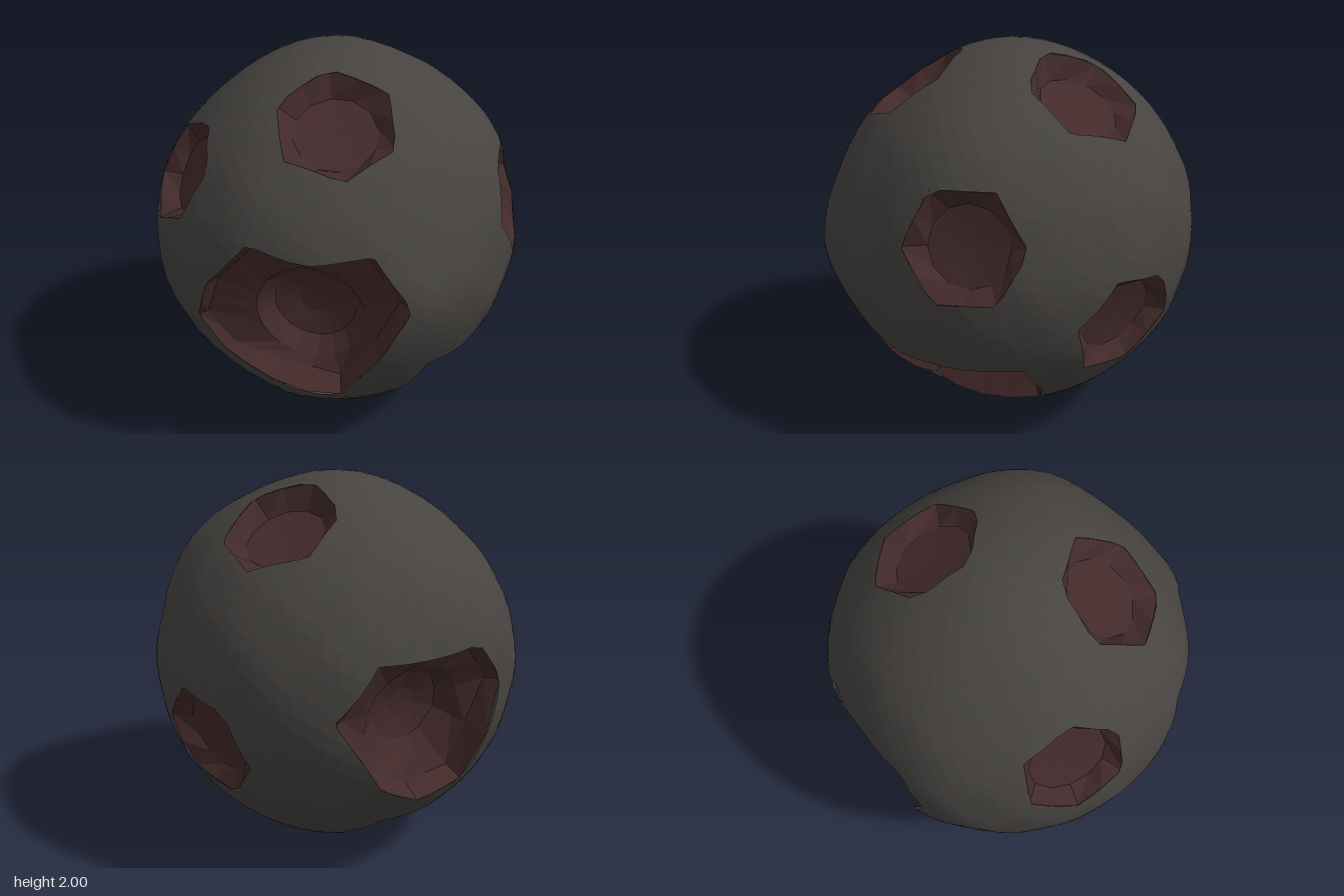
import * as THREE from 'three';

const rock = new THREE.MeshStandardMaterial({ color: 0x464340, flatShading: true, side: THREE.DoubleSide });
const pit = new THREE.MeshStandardMaterial({ color: 0x432a2b, flatShading: true, side: THREE.DoubleSide });
const V = (x, y, z) => new THREE.Vector3(x, y, z);

// Swellings and dents of the rock: direction, height
const bumps = [
  [0.6, 0, 0.8, 0.075], [0.15, -0.5, 0.86, 0.06], [-0.3, 0.05, 0.95, 0.025], [0, 0.34, 0.94, 0.04],
  [0.87, 0.5, 0, 0.025], [0.7, 0.72, 0, 0.025], [0.5, -0.78, 0.3, 0.025], [-0.7, -0.05, 0.7, 0.015],
  [-0.78, 0.25, -0.6, -0.035], [0.75, 0.2, -0.66, -0.015], [-0.65, 0.75, 0, -0.02], [-0.6, -0.2, -0.75, 0.02],
].map(([x, y, z, h]) => [V(x, y, z).normalize(), h]);

// Distance of the rock surface from the centre in a direction
function surfaceRadius(d) {
  let r = 0.958 + 0.042 * Math.pow(Math.abs(d.y), 10) + 0.012 * Math.pow(Math.abs(d.x), 4);
  r += 0.007 * Math.sin(13 * d.x + 2) * Math.sin(12 * d.y + 1) * Math.sin(13 * d.z + 1) * (1 - d.y * d.y);
  for (const [b, h] of bumps) r += h * Math.exp((d.dot(b) - 1) * 18);
  return r;
}

const hexagon = (r, degrees) => Array.from({ length: 6 }, (_, i) => {
  const a = THREE.MathUtils.degToRad(degrees + 60 * i);
  return [r * Math.cos(a), r * Math.sin(a)];
});

// Rings below the rim: [radius, height along the axis, roundness, shift u, shift v]
const dish = [[0.21, 0.845, 1, 0, 0], [0.1, 0.835, 1, 0, 0]];
const bowl = [[0.78, 0.69, 0, 0, 0], [0.5, 0.63, 0, 0, 0], [0.2, 0.61, 0, 0, 0]];

// Each crater: name, centre direction, outline in its tangent plane, rings
const craters = [
  ['upperFrontCrater', [0.15, 0.78, 0.5], hexagon(0.325, 37), dish],
  ['upperBackCrater', [0.16, 0.82, -0.44], hexagon(0.325, 30), dish],
  ['upperRightCrater', [-0.7, 0.45, 0.53], hexagon(0.3, 25), dish],
  ['leftCrater', [0.92, 0.245, -0.1], hexagon(0.325, 4), dish],
  ['lowerBackCrater', [0.47, -0.26, -0.81], hexagon(0.325, -10), dish],
  ['frontCrater', [0.08, -0.12, 0.96],
    [[0.37, 0.4], [0.06, 0.37], [-0.23, 0.42], [-0.47, 0.14], [-0.55, -0.1],
      [-0.41, -0.3], [-0.13, -0.39], [0.2, -0.45], [0.4, -0.17], [0.54, 0.13]],
    [[0.9, 0.79, 0, 0, 0], [0.28, 0.745, 1, 0.03, -0.06], [0.21, 0.65, 1, 0.03, -0.07],
      [0.09, 0.61, 1, 0.03, -0.07]]],
  ['backCrater', [-0.76, -0.16, -0.65],
    [[0.3, 0.42], [-0.33, 0.42], [-0.55, 0.13], [-0.28, -0.28], [-0.03, -0.42], [0.27, -0.38], [0.46, 0.18]],
    [[0.86, 0.76, 0, 0, 0], [0.28, 0.7, 1, 0, 0], [0.2, 0.61, 1, 0.02, 0], [0.08, 0.57, 1, 0.03, 0]]],
  ['lowerLeftCrater', [0.66, -0.7, 0.07],
    [[0.45, 0.27], [0, 0.32], [-0.49, 0.2], [-0.42, -0.04], [-0.31, -0.33], [0, -0.36], [0.33, -0.35], [0.48, -0.02]], bowl],
  ['bottomCrater', [-0.45, -0.86, 0],
    [[0.54, 0.04], [0.25, 0.19], [-0.28, 0.21], [-0.56, 0.05], [-0.5, -0.22], [-0.28, -0.34], [0.25, -0.31], [0.5, -0.24]], bowl],
].map(([name, c, outline, rings]) => {
  const axis = V(...c).normalize();
  const u = V(0, 1, 0).cross(axis).normalize();
  return { name, axis, u, v: axis.clone().cross(u), outline, rings };
});

// Unit direction from tangent-plane coordinates
const toDirection = (k, a, b) => k.axis.clone()
  .multiplyScalar(Math.sqrt(1 - a * a - b * b)).addScaledVector(k.u, a).addScaledVector(k.v, b);

// Distance from crater centre to its outline along (a, b)
function outlineReach(k, a, b) {
  const n = k.outline.length, len = Math.hypot(a, b);
  const x = a / len, y = b / len;
  for (let i = 0; i < n; i++) {
    const [px, py] = k.outline[i], [qx, qy] = k.outline[(i + 1) % n];
    const ex = qx - px, ey = qy - py, den = x * ey - y * ex;
    if (Math.abs(den) < 1e-9) continue;
    const t = (px * ey - py * ex) / den, s = (px * y - py * x) / den;
    if (t > 0 && s >= -1e-6 && s <= 1 + 1e-6) return t;
  }
  return 0;
}

// Rock shell: sphere with openings whose edges are pulled onto the outlines
function makeBody() {
  const src = new THREE.IcosahedronGeometry(1, 13).attributes.position;
  const out = [];
  for (let f = 0; f < src.count; f += 3) {
    const inside = [], pts = [];
    for (let j = 0; j < 3; j++) {
      let d = V().fromBufferAttribute(src, f + j).normalize(), hit = null;
      for (const k of craters) {
        if (d.dot(k.axis) < 0.6) continue;
        let a = d.dot(k.u), b = d.dot(k.v);
        if (Math.hypot(a, b) < 1e-6) a = 1e-4;
        const reach = outlineReach(k, a, b), rho = Math.hypot(a, b);
        if (rho < reach) {
          hit = k;
          d = toDirection(k, a * reach / rho, b * reach / rho);
          break;
        }
      }
      inside.push(hit);
      pts.push(d.clone().multiplyScalar(surfaceRadius(d)));
    }
    if (inside[0] && inside[0] === inside[1] && inside[1] === inside[2]) continue;
    for (const p of pts) out.push(p.x, p.y, p.z);
  }
  return toMesh(out, rock, 'body');
}

// Crater lining: rings lofted from a lip under the rock, over the rim and down to the floor
function makeCrater(k) {
  const rim = [];
  k.outline.forEach(([a, b], i) => {
    const [c, d] = k.outline[(i + 1) % k.outline.length];
    rim.push([a, b], [(a + c) / 2, (b + d) / 2]);
  });
  const loops = [[1.04, -0.015], [1, -0.001]].map(([s, lift]) => rim.map(([a, b]) => {
    const d = toDirection(k, a * s, b * s);
    return d.multiplyScalar(surfaceRadius(d) + lift);
  }));
  const place = (a, b, h) => k.axis.clone().multiplyScalar(h).addScaledVector(k.u, a).addScaledVector(k.v, b);
  for (const [r, h, round, su, sv] of k.rings) {
    loops.push(rim.map(([a, b]) => {
      const s = round ? r / Math.hypot(a, b) : r;
      return place(a * s + su, b * s + sv, h);
    }));
  }
  const last = k.rings[k.rings.length - 1];
  const centre = place(last[3], last[4], last[1] - 0.005);
  const out = [], n = rim.length;
  loops.forEach((A, l) => {
    const B = loops[l + 1];
    for (let i = 0; i < n; i++) {
      const j = (i + 1) % n;
      const tris = B ? [A[i], A[j], B[j], A[i], B[j], B[i]] : [A[i], A[j], centre];
      for (const p of tris) out.push(p.x, p.y, p.z);
    }
  });
  return toMesh(out, pit, k.name);
}

function toMesh(positions, material, name) {
  const g = new THREE.BufferGeometry();
  g.setAttribute('position', new THREE.Float32BufferAttribute(positions, 3));
  g.computeVertexNormals();
  const mesh = new THREE.Mesh(g, material);
  mesh.name = name;
  mesh.position.y = 1;
  return mesh;
}

export function createModel() {
  const group = new THREE.Group();
  group.name = 'crateredRock';
  group.add(makeBody(), ...craters.map(makeCrater));
  return group;
}
